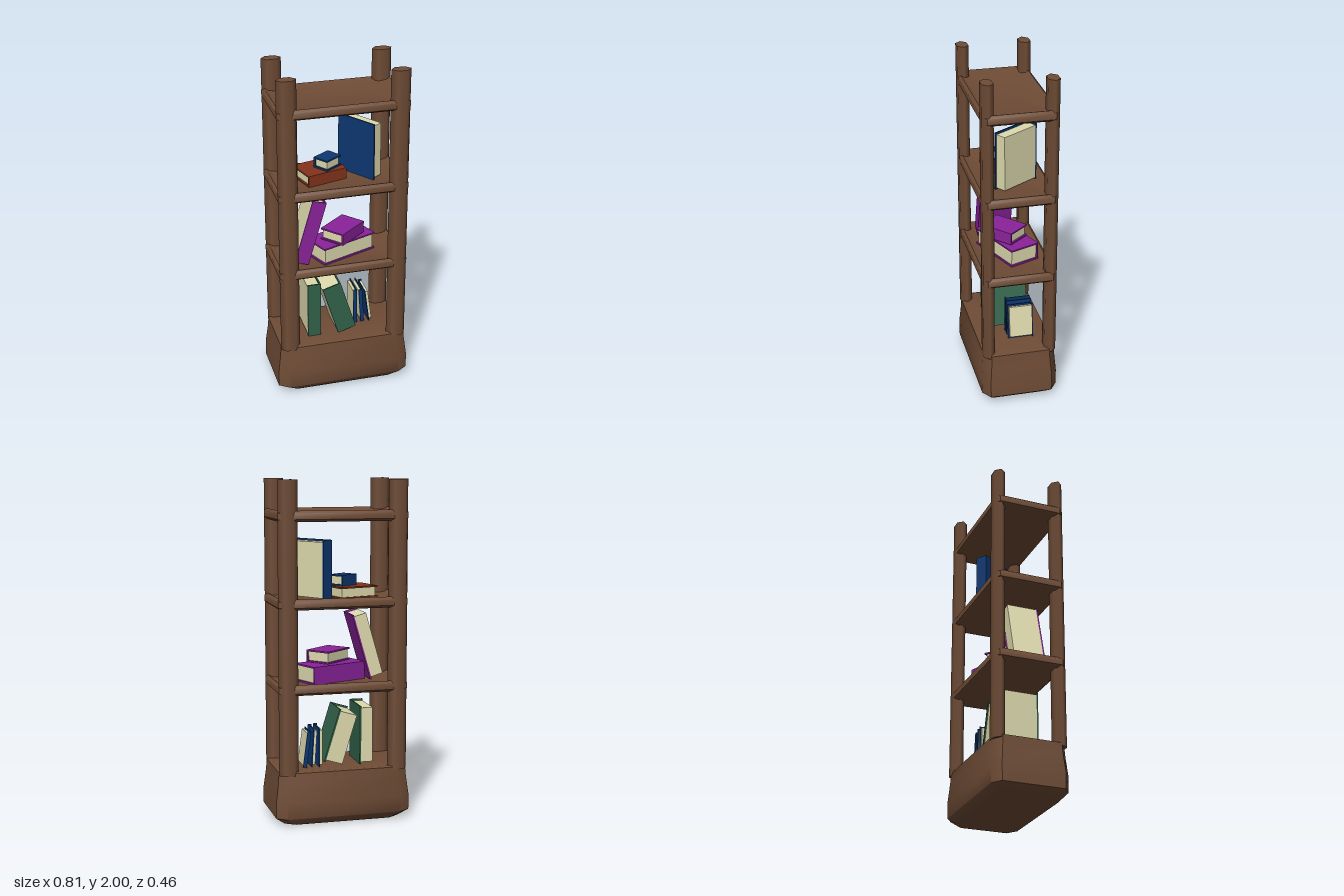
import * as THREE from 'three';
import { toCreasedNormals } from 'three/addons/utils/BufferGeometryUtils.js';

const mat = (name, color) => {
  const m = new THREE.MeshStandardMaterial({ color });
  m.name = name;
  return m;
};

// Closed solid from stacked chamfered rectangles: [y, halfWidth, halfDepth]
function loft(rings, chamfer) {
  const pos = [], idx = [];
  for (const [y, hx, hz] of rings) {
    const c = Math.min(chamfer, hx * 0.5, hz * 0.5);
    const pts = [[hx, -hz + c * 0.7], [hx, hz - c * 0.7], [hx - c, hz], [-hx + c, hz],
      [-hx, hz - c * 0.7], [-hx, -hz + c * 0.7], [-hx + c, -hz], [hx - c, -hz]];
    for (const [x, z] of pts) pos.push(x, y, z);
  }
  for (let r = 0; r < rings.length - 1; r++) {
    for (let i = 0; i < 8; i++) {
      const a = r * 8 + i, b = r * 8 + (i + 1) % 8;
      idx.push(a, a + 8, b, b, a + 8, b + 8);
    }
  }
  const g = new THREE.BufferGeometry();
  g.setAttribute('position', new THREE.Float32BufferAttribute(pos, 3));
  g.setIndex(idx);
  return toCreasedNormals(g, 0.9);
}

export function createModel() {
  const wood = mat('wood', 0x6f4c36);
  const pages = mat('pages', 0xdedbae);
  const green = mat('green cover', 0x316249);
  const purple = mat('purple cover', 0x8a239a);
  const blue = mat('blue cover', 0x0d3872);
  const red = mat('red cover', 0x84331c);

  const model = new THREE.Group();
  model.name = 'bookshelf';
  const add = (parent, name, geometry, material, x = 0, y = 0, z = 0) => {
    const mesh = new THREE.Mesh(geometry, material);
    mesh.name = name;
    mesh.position.set(x, y, z);
    parent.add(mesh);
    return mesh;
  };

  // Heavy flared base
  add(model, 'base', loft([
    [0, 0.001, 0.001], [0, 0.345, 0.185], [0.045, 0.403, 0.226], [0.14, 0.402, 0.228],
    [0.25, 0.388, 0.219], [0.315, 0.383, 0.215], [0.322, 0.365, 0.2], [0.315, 0.001, 0.001],
  ], 0.06), wood);

  // Four hexagonal corner posts
  const postGeo = new THREE.CylinderGeometry(1, 1, 1.7, 6, 1, false, Math.PI / 2);
  postGeo.scale(0.058, 1, 0.038);
  for (const sx of [-1, 1]) {
    for (const sz of [-1, 1]) add(model, 'post', postGeo, wood, sx * 0.326, 1.15, sz * 0.184);
  }

  // Shelves with a rounded, slightly raised rim
  const shelfGeo = loft([
    [0.005, 0.001, 0.001], [0, 0.365, 0.195], [0.015, 0.384, 0.216], [0.05, 0.384, 0.216],
    [0.064, 0.37, 0.2], [0.05, 0.33, 0.165], [0.046, 0.001, 0.001],
  ], 0.035);
  for (const y of [0.768, 1.262, 1.762]) add(model, 'shelf', shelfGeo, wood, 0, y, 0);

  // Book: thickness x, height y, depth z, spine at +z, board on +x (and -x if both)
  function book(name, cover, [t, h, d], [x, y, z], { yaw = 0, lean = 0, flat = false, both = flat }) {
    const g = new THREE.Group(), inner = new THREE.Group();
    g.name = name;
    const b = Math.min(0.009, t * 0.25);
    add(inner, 'pages', new THREE.BoxGeometry(t - (both ? 2 : 1) * b, h - 0.022, d - b - 0.008),
      pages, both ? 0 : -b / 2, 0, 0.004 - b / 2);
    add(inner, 'spine', new THREE.BoxGeometry(t, h, b), cover, 0, 0, d / 2 - b / 2);
    for (const s of both ? [1, -1] : [1]) {
      add(inner, 'board', new THREE.BoxGeometry(b, h, d - b), cover, s * (t / 2 - b / 2), 0, -b / 2);
    }
    if (flat) inner.rotation.z = Math.PI / 2;
    inner.rotation.z += lean;
    g.rotation.y = yaw;
    g.position.set(x, y, z);
    g.add(inner);
    model.add(g);
  }

  // Bottom tier: green books and three thin ones
  book('uprightGreenBook', green, [0.08, 0.35, 0.23], [-0.16, 0.495, 0], {});
  book('leaningGreenBook', green, [0.115, 0.325, 0.23], [-0.005, 0.487, 0], { lean: 0.3 });
  book('thinBook', blue, [0.022, 0.23, 0.15], [0.117, 0.435, -0.04], {});
  book('thinBook', blue, [0.022, 0.225, 0.15], [0.156, 0.435, -0.04], { lean: 0.06 });
  book('thinBook', blue, [0.022, 0.215, 0.15], [0.2, 0.427, -0.04], { lean: -0.13, yaw: Math.PI });

  // Middle tier: one leaning, two stacked
  book('leaningPurpleBook', purple, [0.085, 0.4, 0.2], [-0.182, 1.025, 0.03], { lean: -0.28 });
  book('largePurpleBook', purple, [0.105, 0.37, 0.19], [0.03, 0.87, 0.002], { flat: true, yaw: Math.PI + 0.38 });
  book('smallPurpleBook', purple, [0.072, 0.22, 0.157], [0.038, 0.965, 0.022], { flat: true, yaw: 0.7 });

  // Top tier: tall book and a small stack
  book('tallBlueBook', blue, [0.072, 0.345, 0.27], [0.153, 1.481, -0.02], { yaw: Math.PI + 0.58 });
  book('redBook', red, [0.068, 0.25, 0.19], [-0.092, 1.345, -0.01], { flat: true, yaw: 0.28 });
  book('smallBlueBook', blue, [0.064, 0.125, 0.1], [-0.047, 1.412, 0], { flat: true, yaw: Math.PI + 0.6 });

  return model;
}
